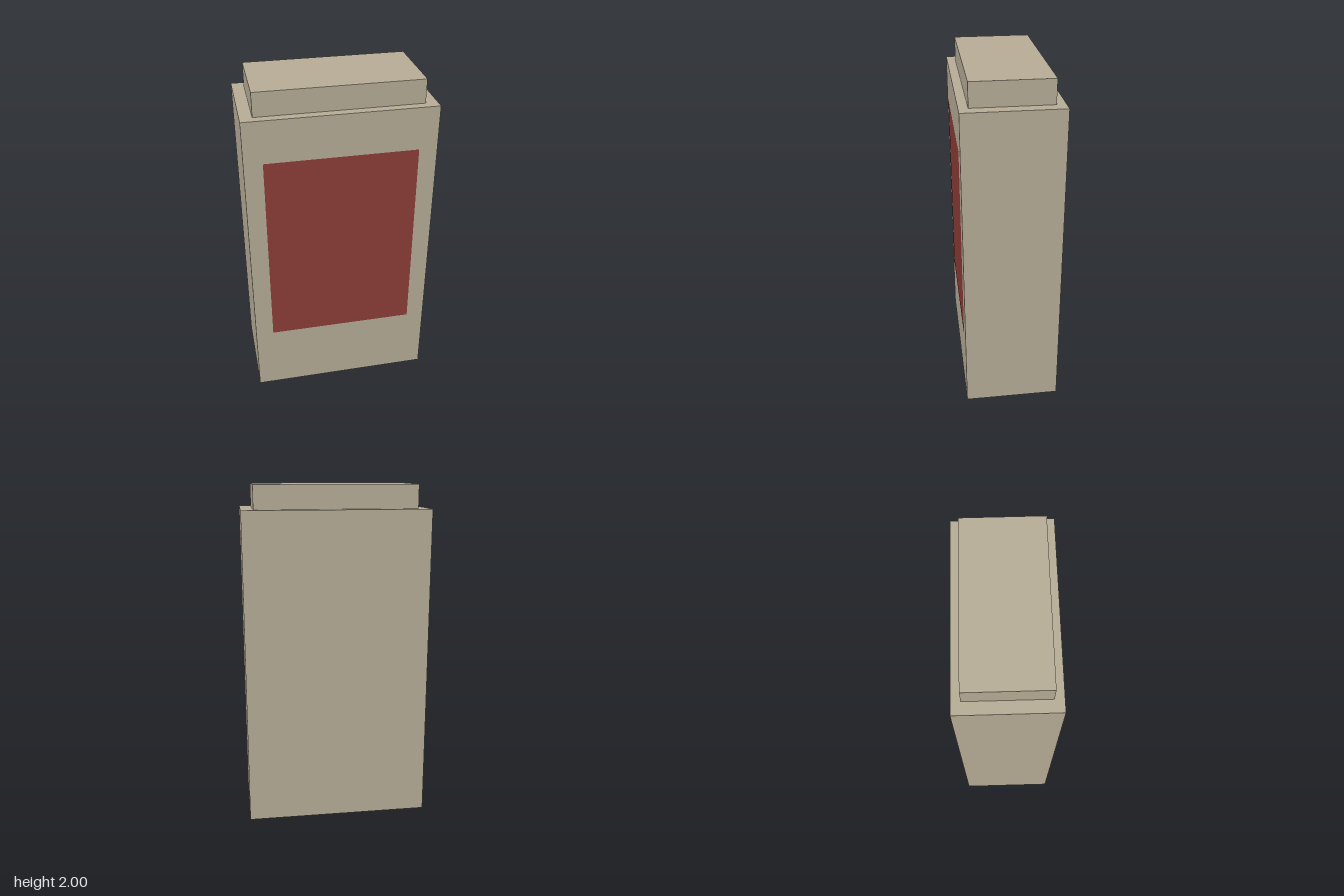
import * as THREE from 'three';

export function createModel() {
  const model = new THREE.Group();
  const beige = new THREE.MeshStandardMaterial({ color: 0xb8ae98 });
  const red = new THREE.MeshStandardMaterial({ color: 0x8d3d37 });

  function add(name, geometry, material, y, z = 0) {
    const mesh = new THREE.Mesh(geometry, material);
    mesh.name = name;
    mesh.position.set(0, y, z);
    model.add(mesh);
  }

  // Tall rectangular body
  add('body', new THREE.BoxGeometry(1.084, 1.862, 0.56), beige, 0.931);

  // Smaller block stepped in on top
  add('topCap', new THREE.BoxGeometry(0.944, 0.138, 0.456), beige, 1.931);

  // Thin panel lying on the front face
  add('frontPanel', new THREE.PlaneGeometry(0.872, 1.192), red, 1.016, 0.281);

  return model;
}
